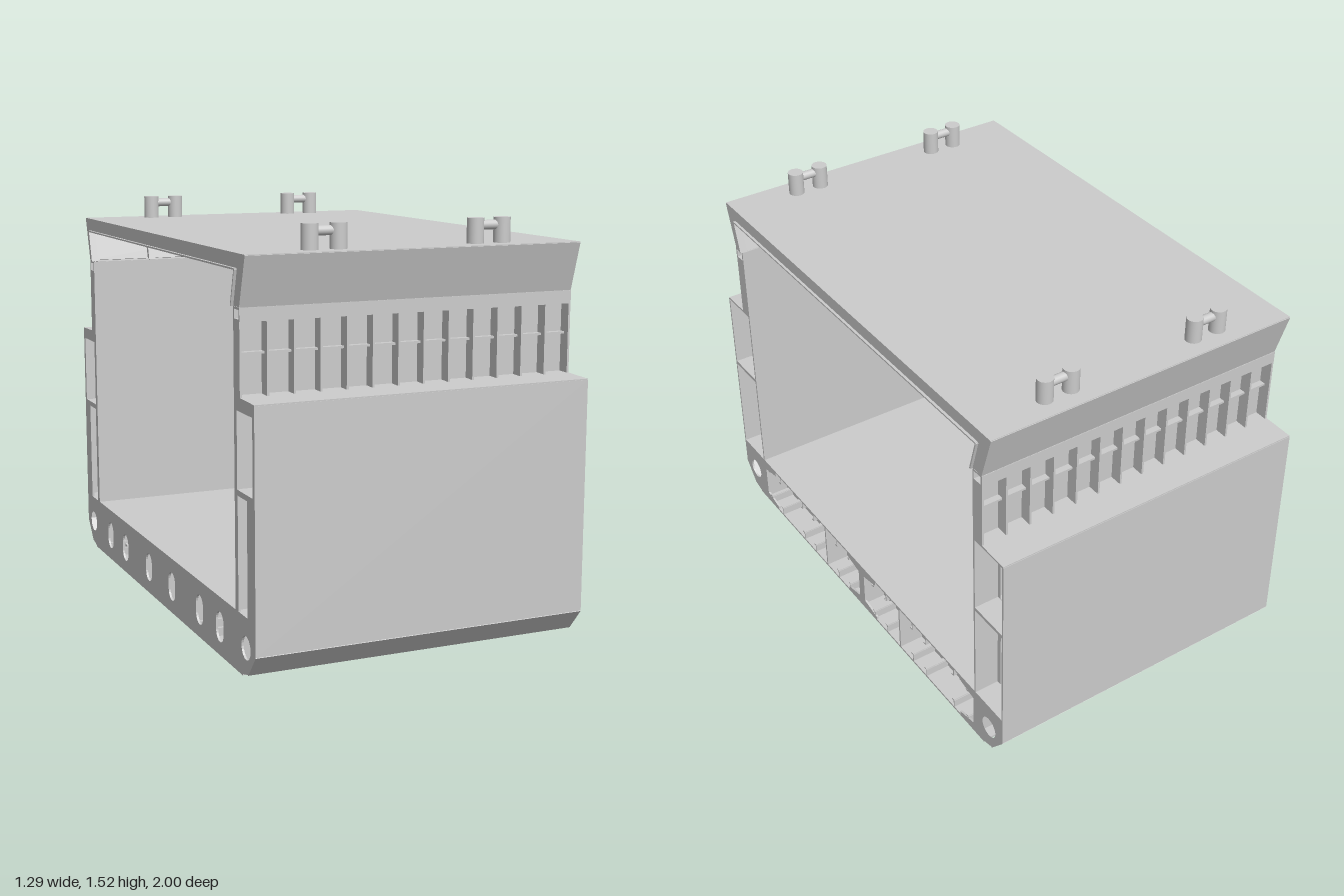
import * as THREE from 'three';

const MAT = new THREE.MeshStandardMaterial({ color: 0xcccccc, flatShading: true });
const SMOOTH = new THREE.MeshStandardMaterial({ color: 0xcccccc });
const HALF = 0.635;            // half length along x
const LEN = HALF * 2;
const T = 0.008;               // plate thickness
const FRAMES = 13;             // frame bays along x
const frameX = i => -HALF + T / 2 + (i * (LEN - T)) / FRAMES;

export function createModel() {
  const root = new THREE.Group();

  const group = name => {
    const g = new THREE.Group();
    g.name = name;
    root.add(g);
    return g;
  };
  const add = (parent, name, geo, mat = MAT) => {
    const m = new THREE.Mesh(geo, mat);
    m.name = name;
    parent.add(m);
    return m;
  };

  // Flat plate running in x, its section going from [z, y] to [z, y]
  const strip = (parent, name, a, b, x = 0, w = LEN, t = T) => {
    const dz = b[0] - a[0], dy = b[1] - a[1];
    const geo = new THREE.BoxGeometry(w, t, Math.hypot(dz, dy));
    geo.rotateX(-Math.atan2(dy, dz));
    geo.translate(x, (a[1] + b[1]) / 2, (a[0] + b[0]) / 2);
    return add(parent, name, geo);
  };

  // Transverse plate cut from a [z, y] outline, with optional holes
  const plate = (parent, name, pts, x, s = 1, holes = [], t = T) => {
    const v = list => list.map(([z, y]) => new THREE.Vector2(z * s, y));
    const shape = new THREE.Shape(v(pts));
    holes.forEach(h => shape.holes.push(new THREE.Path(v(h))));
    const geo = new THREE.ExtrudeGeometry(shape, { depth: t, bevelEnabled: false });
    geo.rotateY(-Math.PI / 2);
    geo.translate(x + t / 2, 0, 0);
    return add(parent, name, geo);
  };

  const rect = (z0, z1, y0, y1) => [[z0, y0], [z1, y0], [z1, y1], [z0, y1]];
  // Rounded slot; equal half sizes give a circle
  const slot = (z, y, r, h) => {
    const pts = [];
    for (let i = 0; i < 24; i++) {
      const a = ((i + 0.5) / 24) * Math.PI * 2;
      pts.push([z + r * Math.cos(a), y + r * Math.sin(a) + Math.sign(Math.sin(a)) * (h - r)]);
    }
    return pts;
  };

  // Double bottom: plating, girders and longitudinals
  const bottom = group('doubleBottom');
  strip(bottom, 'bottomPlate', [-0.88, 0.004], [0.88, 0.004]);
  strip(bottom, 'innerBottom', [-0.996, 0.211], [0.996, 0.211]);
  for (const z of [-0.83, -0.29, 0, 0.29, 0.83])
    strip(bottom, 'girder', [z, 0.006], [z, 0.209]);
  for (let i = -8; i <= 8; i++) {
    const z = i * 0.0968;
    if (i % 3 === 0) continue;
    strip(bottom, 'bottomLongitudinal', [z, 0.006], [z, 0.04], 0, LEN, 0.005);
    strip(bottom, 'bottomFlange', [z, 0.04], [z + 0.015, 0.04], 0, LEN, 0.005);
    strip(bottom, 'floorLongitudinal', [z, 0.175], [z, 0.209], 0, LEN, 0.005);
    strip(bottom, 'floorFlange', [z, 0.175], [z + 0.015, 0.175], 0, LEN, 0.005);
  }

  // Floors with lightening holes at deep frames, open brackets between
  const slots = [-0.66, -0.45, -0.14, 0.14, 0.45, 0.66].map(z => slot(z, 0.105, 0.038, 0.056));
  const bracket = (z0, d) => [[0, 0.006], [0.11, 0.006], [0.11, 0.02], [0.02, 0.04],
    [0.02, 0.17], [0.11, 0.19], [0.11, 0.209], [0, 0.209]].map(([z, y]) => [z0 + d * z, y]);
  const isDeep = i => i % 4 === 0;
  for (let i = 0; i <= FRAMES; i++) {
    const x = frameX(i);
    if (isDeep(i)) plate(bottom, 'floorWeb', rect(-0.83, 0.83, 0.004, 0.211), x, 1, slots);
    else for (const s of [1, -1]) {
      plate(bottom, 'centreBracket', bracket(0, 1), x, s);
      plate(bottom, 'marginBracket', bracket(0.83, -1), x, s);
    }
  }

  // Double sides
  const bilge = [[0.83, 0.002], [0.87, 0.002], [0.93, 0.018], [0.996, 0.1], [0.996, 0.211], [0.83, 0.211]];
  const sideWeb = [[0.82, 0.215], [0.845, 0.215], [0.845, 0.62], [0.93, 0.62], [0.93, 0.215],
    [0.996, 0.215], [0.996, 0.947], [0.82, 0.954]];
  for (const s of [1, -1]) {
    const side = group(s > 0 ? 'frontSide' : 'backSide');
    const run = (name, a, b, t) => strip(side, name, [a[0] * s, a[1]], [b[0] * s, b[1]], 0, LEN, t);
    run('outerShell', [0.996, 0.1], [0.996, 0.95]);
    run('bilgePlate', [0.996, 0.1], [0.928, 0.018]);
    run('innerWall', [0.822, 0.211], [0.822, 1.255]);
    run('tankTop', [0.82, 0.954], [0.998, 0.95]);
    run('stringer', [0.825, 0.63], [0.996, 0.63], 0.014);
    run('rail', [0.822, 1.212], [0.873, 1.212]);
    run('railFace', [0.87, 1.21], [0.87, 1.255]);
    run('railTop', [0.822, 1.252], [0.873, 1.252]);
    run('wallStiffener', [0.822, 1.1], [0.85, 1.1]);
    for (let i = 0; i <= FRAMES; i++) {
      const x = frameX(i);
      plate(side, 'bilgeBracket', bilge, x, s, [slot(0.912, 0.107, 0.042, 0.042)]);
      plate(side, 'wallRib', rect(0.82, 0.873, 0.954, 1.212), x, s);
      if (isDeep(i)) plate(side, 'sideWeb', sideWeb, x, s, [rect(0.842, 0.982, 0.64, 0.91)]);
      else if (i < FRAMES) {
        plate(side, 'innerFrame', rect(0.82, 0.84, 0.215, 0.95), x, s);
        plate(side, 'shellFrame', rect(0.935, 0.996, 0.215, 0.625), x, s);
        plate(side, 'upperShellFrame', rect(0.982, 0.996, 0.63, 0.945), x, s);
      }
    }
  }

  // Cover: top plate, sloping skirts and flanged beams
  const cover = group('cover');
  strip(cover, 'topPlate', [-0.924, 1.429], [0.924, 1.429]);
  const arch = [[0.92, 1.428], [0.87, 1.257], [0.815, 1.257], [0.852, 1.38]];
  const beam = [...arch, ...arch.map(([z, y]) => [-z, y]).reverse()];
  for (const s of [1, -1])
    strip(cover, 'skirt', [0.922 * s, 1.431], [0.868 * s, 1.257]);
  for (let i = 0; i <= 5; i++) {
    const x = -HALF + T / 2 + (i * (LEN - T)) / 5;
    plate(cover, 'crossBeam', beam, x);
    strip(cover, 'beamFlange', [-0.852, 1.381], [0.852, 1.381], x, 0.028, 0.006);
    for (const s of [1, -1])
      strip(cover, 'bracketFlange', [0.852 * s, 1.381], [0.817 * s, 1.257], x, 0.028, 0.006);
  }
  for (let i = -8; i <= 8; i++) {
    const z = i * 0.1, deep = i % 3 === 0;
    const y = deep ? 1.382 : 1.395;
    strip(cover, 'coverStiffener', [z, y], [z, 1.428], 0, LEN, 0.006);
    strip(cover, 'stiffenerFlange', [z - 0.015, y], [z + 0.015, y], 0, LEN, 0.005);
  }

  // Twin bollards with a cross bar
  for (const z of [0.84, -0.84]) for (const x of [-0.317, 0.312]) {
    const g = group('bollard');
    g.position.set(x, 1.43, z);
    for (const s of [1, -1]) {
      const post = new THREE.CylinderGeometry(0.03, 0.03, 0.092, 24);
      add(g, 'post', post.translate(s * 0.053, 0.046, 0), SMOOTH);
    }
    const bar = new THREE.CylinderGeometry(0.017, 0.017, 0.1, 16);
    add(g, 'crossBar', bar.rotateZ(Math.PI / 2).translate(0, 0.066, 0), SMOOTH);
  }
  return root;
}
